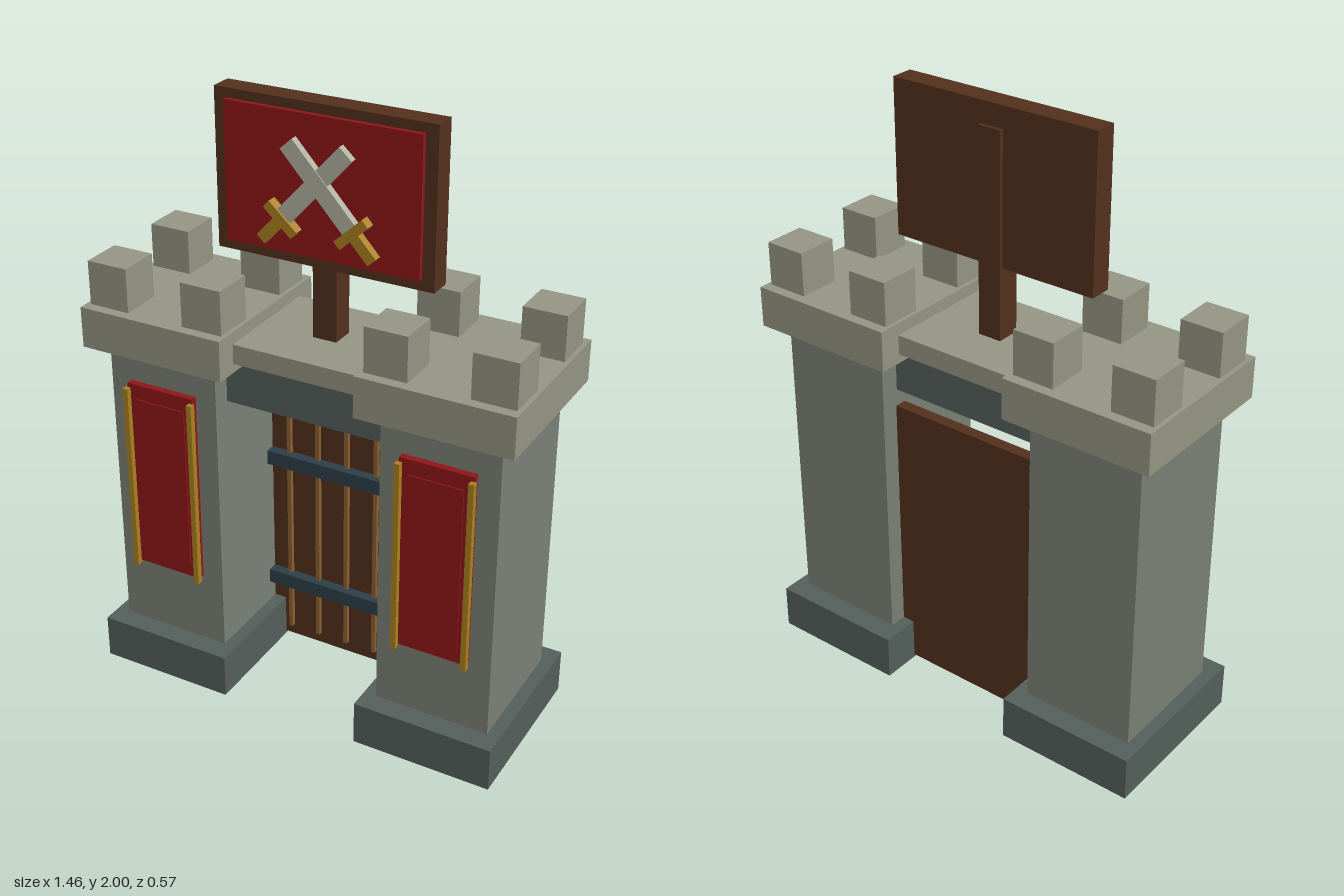
import * as THREE from 'three';

const mat = (color) => new THREE.MeshStandardMaterial({ color });
const M = {
  stone: mat(0x797f75), cap: mat(0x949483), base: mat(0x535e5a),
  wood: mat(0x52301c), slat: mat(0x8a5f30), iron: mat(0x2c3e48),
  red: mat(0x8f1618), gold: mat(0xa98020), steel: mat(0xb0b0a0),
};

// Box given by its extents on each axis
function box(parent, name, material, [x0, x1], [y0, y1], [z0, z1]) {
  const mesh = new THREE.Mesh(new THREE.BoxGeometry(x1 - x0, y1 - y0, z1 - z0), material);
  mesh.position.set((x0 + x1) / 2, (y0 + y1) / 2, (z0 + z1) / 2);
  mesh.name = name;
  parent.add(mesh);
  return mesh;
}

function group(parent, name) {
  const g = new THREE.Group();
  g.name = name;
  parent.add(g);
  return g;
}

// Tower centred on x = 0, with its banner on the front
function tower(parent, name, x) {
  const t = group(parent, name);
  box(t, 'plinth', M.base, [-0.235, 0.235], [0, 0.15], [-0.285, 0.285]);
  box(t, 'shaft', M.stone, [-0.193, 0.193], [0.15, 1.17], [-0.215, 0.215]);
  box(t, 'parapet', M.cap, [-0.252, 0.252], [1.17, 1.305], [-0.275, 0.275]);
  for (const sx of [-1, 1]) for (const sz of [-1, 1]) {
    const cx = sx * 0.168, cz = sz * 0.17;
    box(t, 'merlon', M.cap, [cx - 0.07, cx + 0.07], [1.305, 1.45], [cz - 0.07, cz + 0.07]);
  }
  box(t, 'bannerCloth', M.red, [-0.12, 0.12], [0.4, 1.06], [0.215, 0.238]);
  box(t, 'bannerPanel', M.red, [-0.09, 0.09], [0.45, 1.01], [0.235, 0.243]);
  for (const s of [-1, 1]) {
    box(t, 'bannerTrim', M.gold, [s * 0.118 - 0.009, s * 0.118 + 0.009], [0.39, 1.045], [0.236, 0.256]);
  }
  t.position.x = x;
}

// Sword pointing up, with its crossing point at the origin
function sword(parent, name, angle, z) {
  const s = group(parent, name);
  box(s, 'blade', M.steel, [-0.027, 0.027], [-0.165, 0.142], [-0.012, 0.012]);
  box(s, 'guard', M.gold, [-0.062, 0.062], [-0.19, -0.16], [-0.015, 0.018]);
  box(s, 'grip', M.gold, [-0.018, 0.018], [-0.275, -0.19], [-0.012, 0.015]);
  s.position.set(0, 1.778, z);
  s.rotation.z = angle;
}

export function createModel() {
  const model = new THREE.Group();
  model.name = 'gatehouse';

  tower(model, 'leftTower', 0.477);
  tower(model, 'rightTower', -0.477);

  // Beam and walkway joining the towers
  box(model, 'lintel', M.base, [-0.29, 0.29], [1.035, 1.2], [-0.15, 0.15]);
  box(model, 'walkway', M.cap, [-0.29, 0.29], [1.2, 1.265], [-0.2, 0.2]);

  // Gate with slats and iron straps
  const gate = group(model, 'gate');
  box(gate, 'gatePanel', M.wood, [-0.287, 0.287], [0.01, 0.978], [-0.155, -0.115]);
  for (let i = -2; i <= 2; i++) {
    box(gate, 'slat', M.slat, [i * 0.107 - 0.007, i * 0.107 + 0.007], [0.05, 0.9], [-0.12, -0.1]);
  }
  for (const y of [0.248, 0.717]) {
    box(gate, 'strap', M.iron, [-0.287, 0.287], [y - 0.025, y + 0.025], [-0.12, -0.08]);
  }

  // Sign with crossed swords
  const sign = group(model, 'sign');
  box(sign, 'post', M.wood, [-0.04, 0.04], [1.265, 1.93], [-0.042, 0.038]);
  box(sign, 'board', M.wood, [-0.362, 0.362], [1.5, 2], [-0.03, 0.045]);
  box(sign, 'signPanel', M.red, [-0.322, 0.322], [1.535, 1.97], [0.04, 0.061]);
  sword(sign, 'swordLeaningLeft', -0.74, 0.077);
  sword(sign, 'swordLeaningRight', 0.74, 0.08);

  return model;
}
